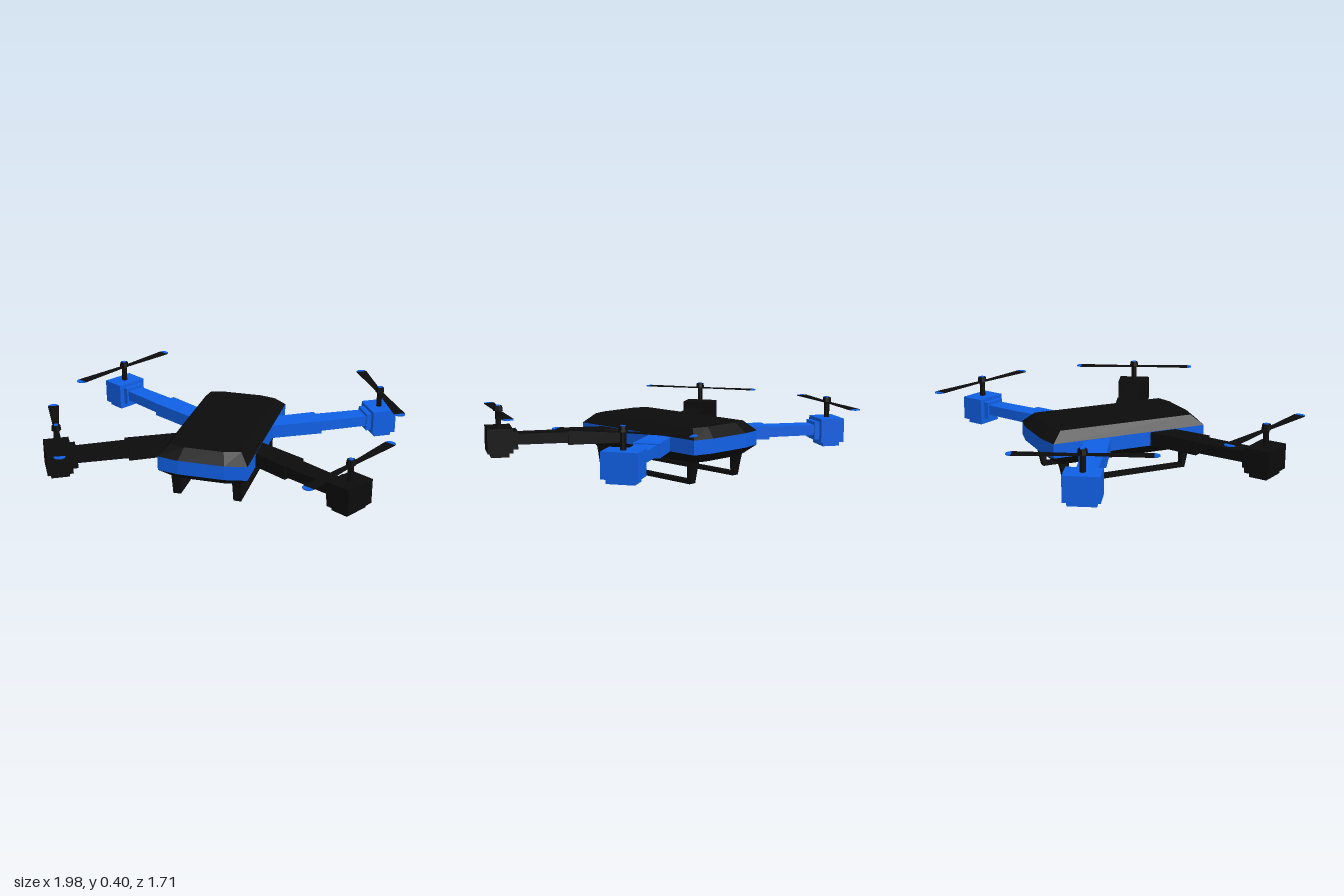
import * as THREE from 'three';

const mat = (color) => new THREE.MeshStandardMaterial({ color, flatShading: true });

// Stack of horizontal rings [[x, y, z], ...] joined by flat faces
function loft(rings, capBottom, capTop) {
  const pos = [];
  const tri = (...pts) => pts.forEach((p) => pos.push(...p));
  const n = rings[0].length;
  for (let r = 0; r < rings.length - 1; r++) {
    for (let i = 0; i < n; i++) {
      const j = (i + 1) % n;
      const [a, b, c, d] = [rings[r][i], rings[r][j], rings[r + 1][j], rings[r + 1][i]];
      tri(a, b, c);
      tri(a, c, d);
    }
  }
  const top = rings[rings.length - 1];
  for (let i = 1; i < n - 1; i++) {
    if (capBottom) tri(rings[0][0], rings[0][i + 1], rings[0][i]);
    if (capTop) tri(top[0], top[i], top[i + 1]);
  }
  const g = new THREE.BufferGeometry();
  g.setAttribute('position', new THREE.Float32BufferAttribute(pos, 3));
  g.computeVertexNormals();
  return g;
}

// Eight-cornered hull outline with slightly pointed ends
const hullRing = (y, w, side, mid, end) => [
  [w, y, side], [w, y, -side], [mid, y, -end], [-mid, y, -end],
  [-w, y, -side], [-w, y, side], [-mid, y, end], [mid, y, end],
];

// Box from x0 to x1 whose width changes from w0 to w1
function taperedBar(x0, x1, w0, w1, y0, y1) {
  const g = new THREE.BoxGeometry(x1 - x0, y1 - y0, 1).translate((x0 + x1) / 2, (y0 + y1) / 2, 0);
  const p = g.attributes.position;
  for (let i = 0; i < p.count; i++) {
    p.setZ(i, p.getZ(i) * (p.getX(i) > (x0 + x1) / 2 ? w1 : w0));
  }
  g.computeVertexNormals();
  return g;
}

// Thin flat plate lying in the xz plane
const plate = (points, t) =>
  new THREE.ExtrudeGeometry(new THREE.Shape(points.map(([x, y]) => new THREE.Vector2(x, y))),
    { depth: t, bevelEnabled: false }).rotateX(-Math.PI / 2);

export function createModel() {
  const black = mat(0x0c0c0c);
  const blue = mat(0x1060e6);
  const model = new THREE.Group();
  const add = (parent, name, geometry, material) => {
    const mesh = new THREE.Mesh(geometry, material);
    mesh.name = name;
    parent.add(mesh);
    return mesh;
  };

  // Hull: black belly, blue waist band, black top
  const body = new THREE.Group();
  body.name = 'body';
  model.add(body);
  const bandLow = hullRing(0.175, 0.25, 0.455, 0.13, 0.48);
  const bandHigh = hullRing(0.255, 0.25, 0.455, 0.13, 0.48);
  add(body, 'belly', loft([hullRing(0.12, 0.2, 0.39, 0.11, 0.41), bandLow], true, false), black);
  add(body, 'waistBand', loft([bandLow, bandHigh], false, false), blue);
  add(body, 'topCover', loft([bandHigh, hullRing(0.31, 0.2, 0.395, 0.11, 0.42)], false, true), black);

  // Landing skids: open frames under each side
  const skid = new THREE.Shape([
    [0.4, 0.135], [0.385, 0.08], [0.367, 0], [-0.367, 0], [-0.385, 0.08], [-0.4, 0.135],
    [-0.345, 0.135], [-0.35, 0.02], [0.35, 0.02], [0.345, 0.135],
  ].map(([x, y]) => new THREE.Vector2(x, y)));
  const skidGeo = new THREE.ExtrudeGeometry(skid, { depth: 0.044, bevelEnabled: false })
    .translate(0, 0, -0.022).rotateY(Math.PI / 2);
  for (const s of [1, -1]) {
    add(model, s > 0 ? 'leftSkid' : 'rightSkid', skidGeo, black).position.x = s * 0.172;
  }

  // Shared arm and rotor geometry; local +x points outward, origin on the rotor axis
  const armGeos = {
    innerArm: taperedBar(-0.72, -0.38, 0.13, 0.145, 0.175, 0.252),
    outerArm: taperedBar(-0.4, -0.06, 0.12, 0.105, 0.185, 0.245),
    motorCollar: taperedBar(-0.1, -0.06, 0.13, 0.13, 0.16, 0.262),
    motorBlock: taperedBar(-0.07, 0.07, 0.19, 0.19, 0.145, 0.282),
    motorBase: taperedBar(-0.05, 0.05, 0.15, 0.15, 0.12, 0.15),
  };
  const shaftGeo = new THREE.CylinderGeometry(0.016, 0.016, 0.11, 8).translate(0, 0.33, 0);
  const capGeo = new THREE.CylinderGeometry(0.023, 0.027, 0.028, 8).translate(0, 0.385, 0);
  const pinGeo = new THREE.BoxGeometry(0.022, 0.006, 0.022).translate(0, 0.4, 0);
  const bladeGeo = plate([
    [-0.345, -0.031], [0, -0.013], [0.345, -0.031], [0.345, 0.031], [0, 0.013], [-0.345, 0.031],
  ], 0.005).translate(0, 0.367, 0);
  const tipGeo = plate([
    [0.345, -0.031], [0.362, -0.026], [0.373, -0.01], [0.373, 0.01], [0.362, 0.026], [0.345, 0.031],
  ], 0.005).translate(0, 0.367, 0);

  // Four arms: black at the front, blue at the back
  for (const sz of [1, -1]) {
    for (const sx of [1, -1]) {
      const unit = new THREE.Group();
      unit.name = (sz > 0 ? 'front' : 'back') + (sx > 0 ? 'Left' : 'Right') + 'Arm';
      unit.position.set(sx * 0.803, 0, sz * 0.517);
      model.add(unit);

      const arm = new THREE.Group();
      arm.name = 'arm';
      arm.rotation.y = Math.atan2(-sz * 0.5, sx * 0.866);
      unit.add(arm);
      for (const [name, geo] of Object.entries(armGeos)) add(arm, name, geo, sz > 0 ? black : blue);

      // Rotor with blue blade tips
      const rotor = new THREE.Group();
      rotor.name = 'rotor';
      rotor.rotation.y = Math.atan2(sz * 0.893, sx * 0.45);
      unit.add(rotor);
      add(rotor, 'shaft', shaftGeo, black);
      add(rotor, 'hubCap', capGeo, black);
      add(rotor, 'hubPin', pinGeo, blue);
      add(rotor, 'blades', bladeGeo, black);
      add(rotor, 'bladeTip', tipGeo, blue);
      add(rotor, 'bladeTip', tipGeo, blue).rotation.y = Math.PI;
    }
  }
  return model;
}
